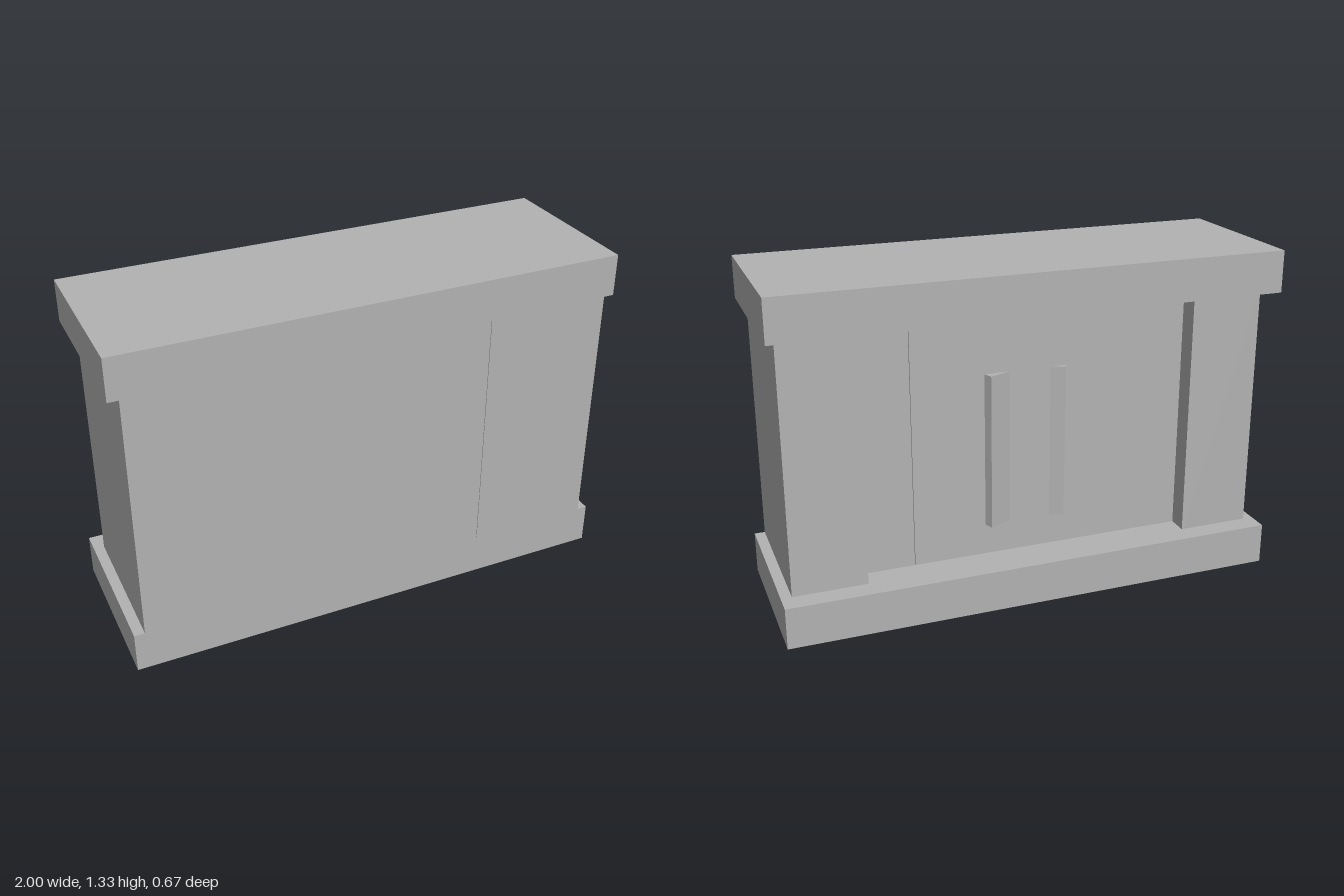
import * as THREE from 'three';

const U = 1 / 12; // module size of the block grid

export function createModel() {
  const group = new THREE.Group();
  const grey = new THREE.MeshStandardMaterial({ color: 0xb2b2b2 });
  grey.name = 'plainGrey';

  // Box given by its lower and upper corners
  function block(name, [x0, y0, z0], [x1, y1, z1]) {
    const mesh = new THREE.Mesh(new THREE.BoxGeometry(x1 - x0, y1 - y0, z1 - z0), grey);
    mesh.position.set((x0 + x1) / 2, (y0 + y1) / 2, (z0 + z1) / 2);
    mesh.name = name;
    group.add(mesh);
  }

  const front = 4 * U, low = 2 * U, high = 14 * U;

  // Base and top slabs
  block('baseSlab', [-1, 0, -front], [1, low, front]);
  block('topSlab', [-1, high, -front], [1, 16 * U, front]);

  // End pillars
  block('rightPillar', [-11.5 * U, low, -3 * U], [-8 * U, high, front]);
  block('leftPillar', [8 * U, low, -3 * U], [11.5 * U, high, front]);

  // Middle wall, in two pieces with a hairline joint
  const joint = 5.5 * U;
  block('wallPanel', [-8 * U, low, -2 * U], [joint - 0.001, high, front]);
  block('narrowWallPanel', [joint + 0.001, low, -2 * U], [8 * U, high, front]);

  // Upright slats turned in the wall, each with one edge standing out at the back
  const angle = Math.PI / 8, width = 0.15, depth = 0.08;
  const bottom = 3.5 * U, top = 11 * U;
  for (const [name, side, x, z] of [['leftSlat', 1, 0.152, -0.202], ['rightSlat', -1, -0.157, -0.189]]) {
    const slat = new THREE.Mesh(new THREE.BoxGeometry(width, top - bottom, depth), grey);
    const c = Math.cos(angle), s = Math.sin(angle);
    slat.position.set(
      x + side * (-c * width + s * depth) / 2,
      (bottom + top) / 2,
      z + (s * width + c * depth) / 2
    );
    slat.rotation.y = side * angle;
    slat.name = name;
    group.add(slat);
  }

  return group;
}
